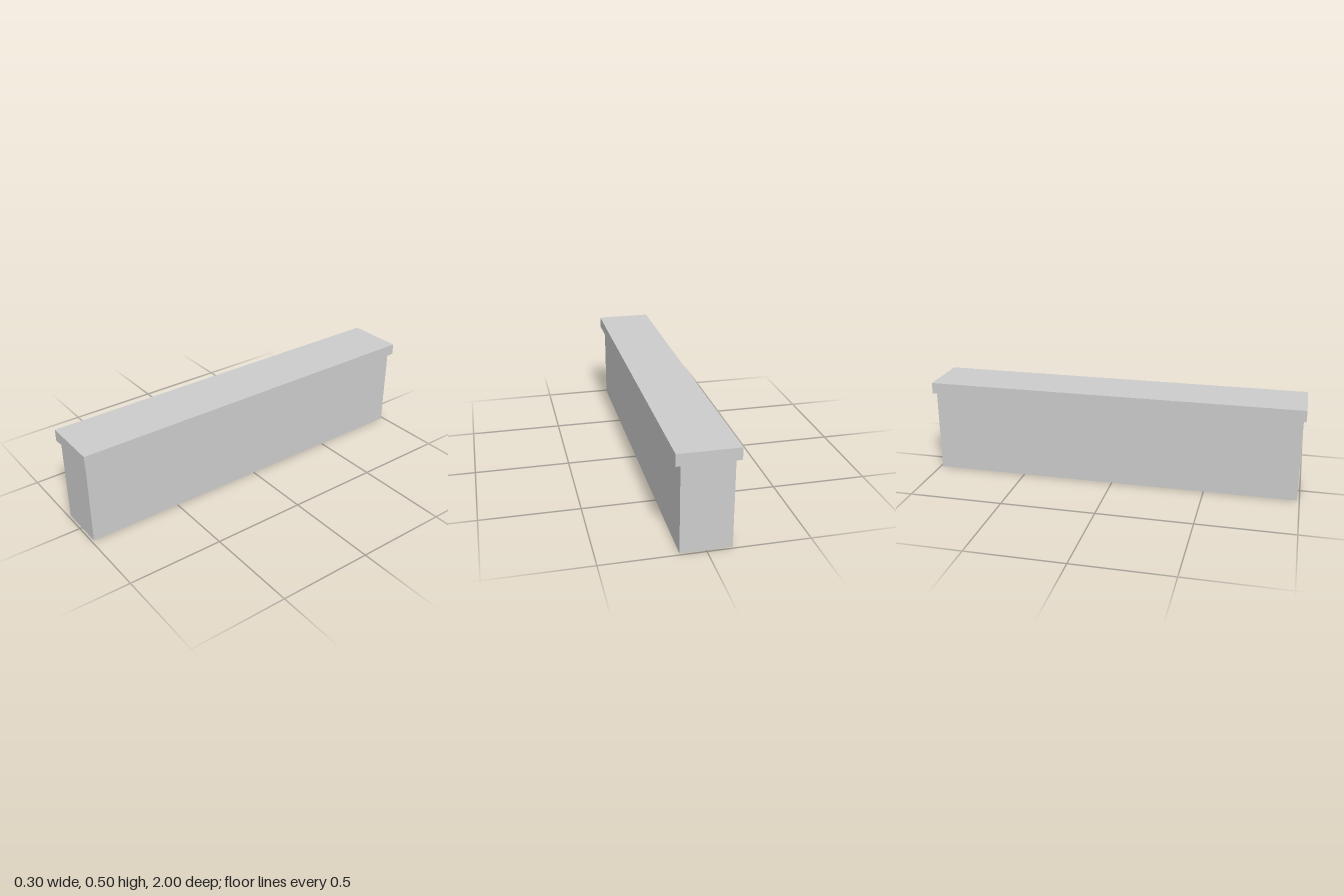
import * as THREE from 'three';

// Box shell standing on y, without an underside.
function openBox(name, width, height, depth, y, z, material) {
  const geometry = new THREE.BoxGeometry(width, height, depth);
  const index = Array.from(geometry.index.array);
  index.splice(18, 6); // drop the -y face
  geometry.setIndex(index);
  geometry.clearGroups();
  const mesh = new THREE.Mesh(geometry, material);
  mesh.name = name;
  mesh.position.set(0, y + height / 2, z);
  return mesh;
}

export function createModel() {
  const group = new THREE.Group();
  group.name = 'counter';
  const grey = new THREE.MeshStandardMaterial({ color: 0xcccccc, side: THREE.DoubleSide });
  grey.name = 'light grey';

  // Overhanging top slab and the long body beneath it
  group.add(openBox('topSlab', 0.3, 0.06, 2, 0.445, 0, grey));
  group.add(openBox('body', 0.25, 0.445, 1.975, 0, 0, grey));

  // Three square supports inside the hollow body
  for (const z of [-0.745, 0, 0.745]) {
    group.add(openBox('innerSupport', 0.09, 0.44, 0.09, 0, z, grey));
  }
  return group;
}
